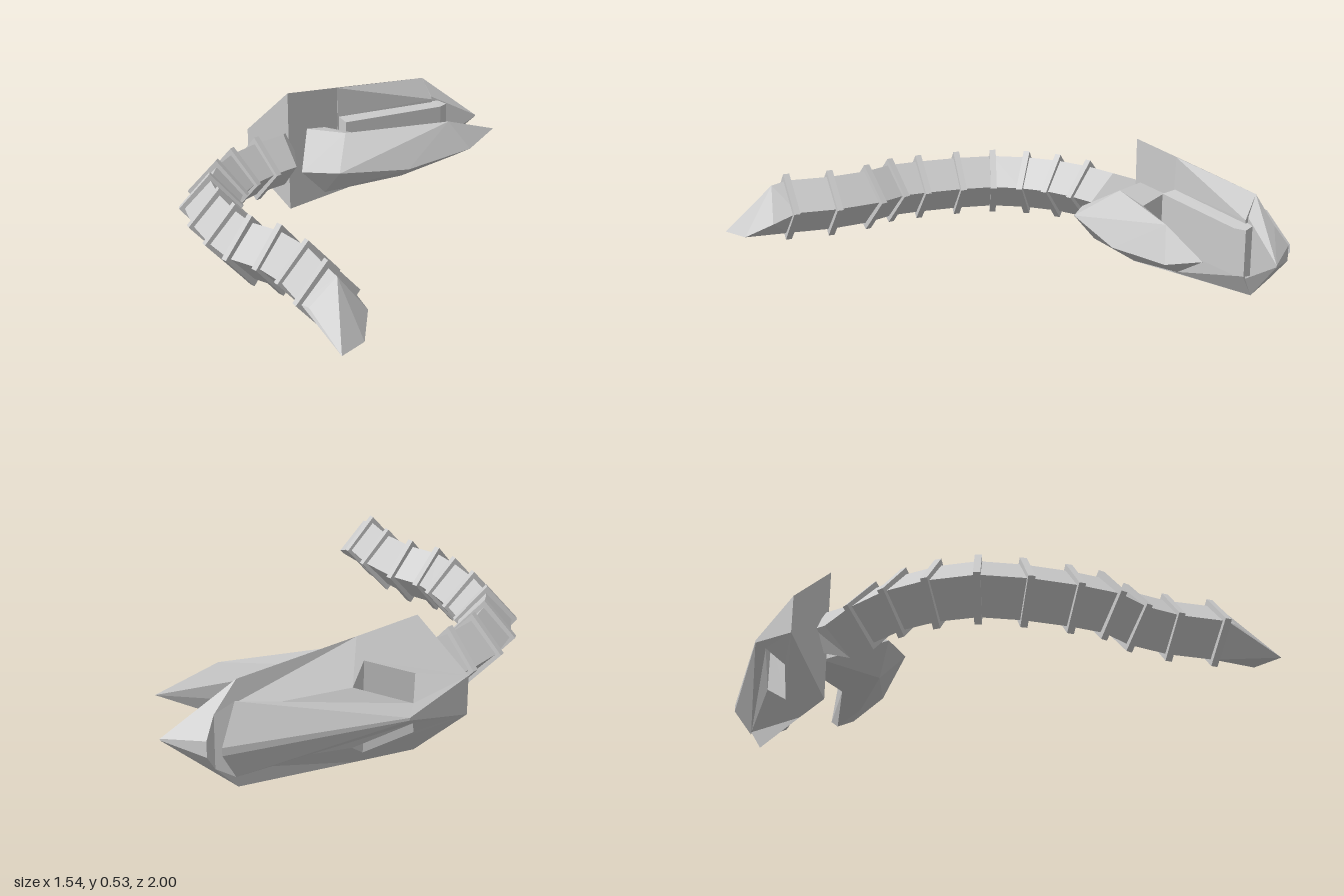
import * as THREE from 'three';
import { ConvexGeometry } from 'three/addons/geometries/ConvexGeometry.js';

const MID = 0.27; // height of the symmetry plane
const material = new THREE.MeshStandardMaterial({ color: 0xcccccc, flatShading: true, side: THREE.DoubleSide });

function add(parent, name, geometry) {
  const mesh = new THREE.Mesh(geometry, material);
  mesh.name = name;
  parent.add(mesh);
  return mesh;
}

const hull = (points) => new ConvexGeometry(points.map((p) => new THREE.Vector3(...p)));

// points given as [x, half height, z], repeated above and below the middle
const mirroredHull = (points) =>
  hull(points.flatMap(([x, h, z]) => [[x, MID + h, z], [x, MID - h, z]]));

// diamond sections [x, z, half width, half height, dirX, dirZ] joined into a tube
function diamondLoft(sections) {
  const pos = [], index = [];
  sections.forEach(([x, z, w, h, dx, dz], i) => {
    pos.push(x, MID + h, z, x + dz * w, MID, z - dx * w, x, MID - h, z, x - dz * w, MID, z + dx * w);
    if (i === 0) return;
    for (let k = 0; k < 4; k++) {
      const a = (i - 1) * 4 + k, b = (i - 1) * 4 + (k + 1) % 4;
      index.push(a, a + 4, b, b, a + 4, b + 4);
    }
  });
  const last = pos.length / 3 - 4;
  index.push(0, 1, 2, 0, 2, 3, last, last + 2, last + 1, last, last + 3, last + 2);
  const g = new THREE.BufferGeometry();
  g.setAttribute('position', new THREE.Float32BufferAttribute(pos, 3));
  g.setIndex(index);
  const flat = g.toNonIndexed();
  flat.computeVertexNormals();
  return flat;
}

// plate outlined in x/z whose top and bottom follow a half height per corner
function warpedPlate(outline, hole) {
  const toV2 = ([x, z]) => new THREE.Vector2(x, -z);
  const shape = new THREE.Shape(outline.map(toV2));
  shape.holes.push(new THREE.Path(hole.map(toV2)));
  const g = new THREE.ExtrudeGeometry(shape, { depth: 1, bevelEnabled: false });
  g.rotateX(-Math.PI / 2);
  const p = g.attributes.position, corners = [...outline, ...hole];
  for (let i = 0; i < p.count; i++) {
    const c = corners.find(([x, z]) => Math.hypot(x - p.getX(i), z - p.getZ(i)) < 1e-3);
    p.setY(i, MID + (p.getY(i) > 0.5 ? c[2] : -c[2]));
  }
  g.computeVertexNormals();
  return g;
}

export function createModel() {
  const model = new THREE.Group();
  model.name = 'clawedArm';

  // curved arm with a collar at every joint
  const joints = [
    [-0.458, 0.746], [-0.472, 0.566], [-0.524, 0.402], [-0.603, 0.288], [-0.63, 0.159],
    [-0.648, -0.013], [-0.643, -0.175], [-0.582, -0.312], [-0.492, -0.426], [-0.365, -0.52],
  ];
  // collar directions, following the bend
  const headings = joints.map(([x, z], i) => {
    const a = joints[Math.max(i - 1, 0)];
    const b = joints[i + 1] ?? [-0.23, -0.585];
    const start = i === 0 ? [-0.40, 0.92] : a;
    return new THREE.Vector2(b[0] - start[0], b[1] - start[1]).normalize();
  });
  const sections = joints.map(([x, z], i) => [x, z, 0.105, 0.112, headings[i].x, headings[i].y]);
  sections.push([-0.23, -0.585, 0.105, 0.112, 0.97, -0.24], [-0.19, -0.7, 0.04, 0.08, 0.6, -0.8]);
  add(model, 'arm', diamondLoft(sections));

  const collars = new THREE.Group();
  collars.name = 'collars';
  model.add(collars);
  joints.forEach(([x, z], i) => {
    const g = new THREE.CylinderGeometry(1, 1, 0.026, 4).rotateX(Math.PI / 2).scale(0.125, 0.14, 1);
    const collar = add(collars, 'collar', g);
    collar.position.set(x, MID, z);
    collar.rotation.y = Math.atan2(headings[i].x, headings[i].y);
  });

  // obliquely cut free end
  add(model, 'armTip', hull([
    [-0.458, 0.382, 0.746], [-0.558, MID, 0.776], [-0.358, MID, 0.716], [-0.458, 0.158, 0.746],
    [-0.44, 0.37, 0.81], [-0.54, MID, 0.81], [-0.335, 0.235, 0.82],
    [-0.385, 0.175, 0.93], [-0.487, 0.175, 1.0],
  ]));

  // large rear claw with a window and a notched point: [x, z, half height]
  add(model, 'rearClaw', warpedPlate(
    [
      [-0.33, -0.81, 0.075], [-0.185, -0.67, 0.265], [0.06, -0.747, 0.242], [0.51, -0.885, 0.2],
      [0.54, -0.845, 0.12], [0.765, -0.86, 0.003], [0.63, -0.97, 0.03], [0.595, -0.925, 0.1],
      [0.525, -0.925, 0.14], [0.585, -1.0, 0.015], [-0.075, -0.935, 0.005],
    ],
    [[-0.1, -0.895, 0.038], [0.11, -0.875, 0.114], [0.05, -0.805, 0.176], [-0.13, -0.82, 0.113]],
  ));
  add(model, 'rearClawInnerSlope', mirroredHull([
    [0.06, 0.24, -0.747], [0.06, 0.11, -0.742], [0.51, 0.2, -0.885], [0.54, 0.11, -0.835],
  ]));
  add(model, 'gripBar', mirroredHull([
    [0.065, 0.11, -0.75], [0.08, 0.1, -0.685], [0.56, 0.09, -0.78], [0.6, 0.09, -0.81], [0.56, 0.1, -0.87],
  ]));

  // slim front claw: pointed blade and its heel
  const frontClaw = new THREE.Group();
  frontClaw.name = 'frontClaw';
  model.add(frontClaw);
  add(frontClaw, 'blade', hull([
    [-0.195, 0.26, -0.44], [0.025, 0.38, -0.525], [0.5, 0.375, -0.535], [0.13, 0.34, -0.585],
    [0.735, 0.3, -0.585], [0.59, 0.25, -0.5], [0.27, 0.225, -0.41], [-0.055, 0.265, -0.36],
    [-0.09, 0.15, -0.46], [0.27, 0.165, -0.5], [0.13, 0.18, -0.585], [0.54, 0.2, -0.57],
  ]));
  add(frontClaw, 'heel', hull([
    [-0.195, 0.26, -0.44], [0.025, 0.38, -0.525], [-0.105, 0.37, -0.66], [-0.105, 0.2, -0.68],
    [-0.005, 0.345, -0.725], [-0.005, 0.2, -0.725], [0.13, 0.34, -0.585], [0.13, 0.18, -0.585],
    [-0.09, 0.15, -0.46],
  ]));
  return model;
}
